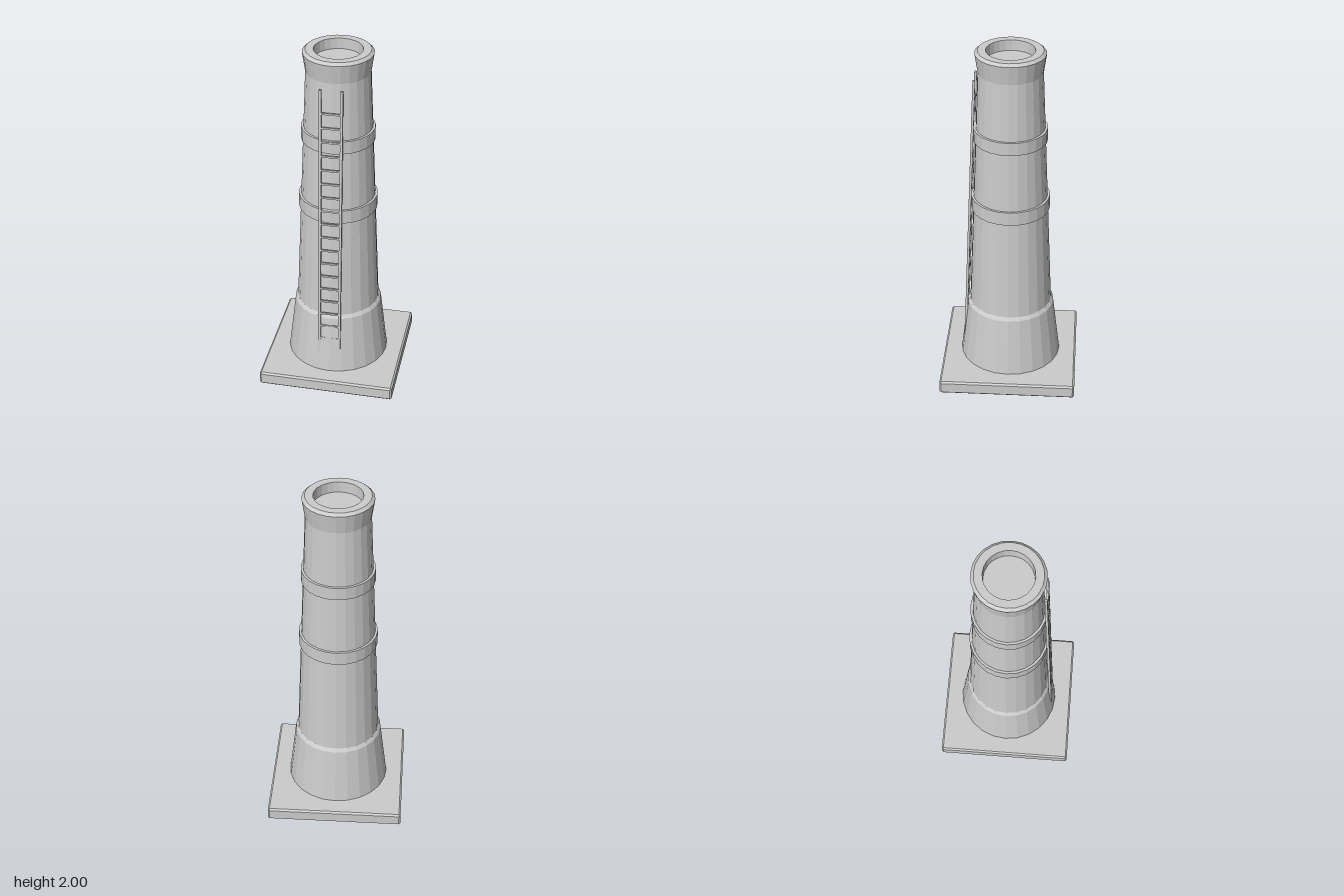
import * as THREE from 'three';
import { ConvexGeometry } from 'three/addons/geometries/ConvexGeometry.js';

const SIDES = 24;

// Faceted solid of revolution from [radius, y] pairs
function facetedLathe(profile) {
  const points = profile.map(([r, y]) => new THREE.Vector2(r, y));
  const geometry = new THREE.LatheGeometry(points, SIDES).toNonIndexed();
  geometry.computeVertexNormals();
  return geometry;
}

// Box with every edge cut at 45 degrees
function chamferedBox(w, h, d, c) {
  const points = [];
  for (const sx of [-1, 1]) for (const sy of [-1, 1]) for (const sz of [-1, 1]) {
    const [x, y, z] = [w / 2, h / 2, d / 2];
    for (const [a, b, e] of [[0, c, c], [c, 0, c], [c, c, 0]]) {
      points.push(new THREE.Vector3(sx * (x - a), sy * (y - b), sz * (z - e)));
    }
  }
  return new ConvexGeometry(points);
}

export function createModel() {
  const model = new THREE.Group();
  model.name = 'chimney';
  const concrete = new THREE.MeshStandardMaterial({ color: 0xcccccc });
  concrete.name = 'light grey concrete';

  function add(parent, name, geometry, x = 0, y = 0, z = 0) {
    const mesh = new THREE.Mesh(geometry, concrete);
    mesh.name = name;
    mesh.position.set(x, y, z);
    parent.add(mesh);
    return mesh;
  }

  // Square footing
  add(model, 'footing', chamferedBox(0.78, 0.08, 0.78, 0.01), 0, 0.04, 0);

  // Stack: flared foot, tapering shaft, flared lip and shallow opening
  add(model, 'stack', facetedLathe([
    [0.291, 0.078], [0.25, 0.425], [0.236, 0.445], [0.177, 1.878],
    [0.193, 1.985], [0.177, 2.0], [0.133, 2.0], [0.131, 1.94], [0, 1.94],
  ]));

  // Reinforcing bands
  for (const [r, y0, y1] of [[0.221, 1.05, 1.13], [0.204, 1.475, 1.55]]) {
    add(model, 'band', facetedLathe([[r - 0.03, y0], [r, y0], [r, y1], [r - 0.03, y1]]));
  }

  // Leaning ladder on the front
  const ladder = new THREE.Group();
  ladder.name = 'ladder';
  model.add(ladder);
  const bottom = new THREE.Vector2(0.263, 0.19); // z, y
  const top = new THREE.Vector2(0.192, 1.845);
  const lean = Math.atan2(top.x - bottom.x, top.y - bottom.y);
  const zAt = (y) => THREE.MathUtils.mapLinear(y, bottom.y, top.y, bottom.x, top.x);
  for (const side of [-1, 1]) {
    const rail = add(ladder, 'ladderRail',
      new THREE.BoxGeometry(0.014, bottom.distanceTo(top), 0.014),
      side * 0.058, (bottom.y + top.y) / 2, (bottom.x + top.x) / 2);
    rail.rotation.x = lean;
  }
  for (let i = 0; i < 18; i++) {
    const y = 0.292 + i * 0.0834;
    const rung = add(ladder, 'ladderRung', new THREE.BoxGeometry(0.11, 0.01, 0.01), 0, y, zAt(y));
    rung.rotation.x = lean;
  }

  return model;
}
